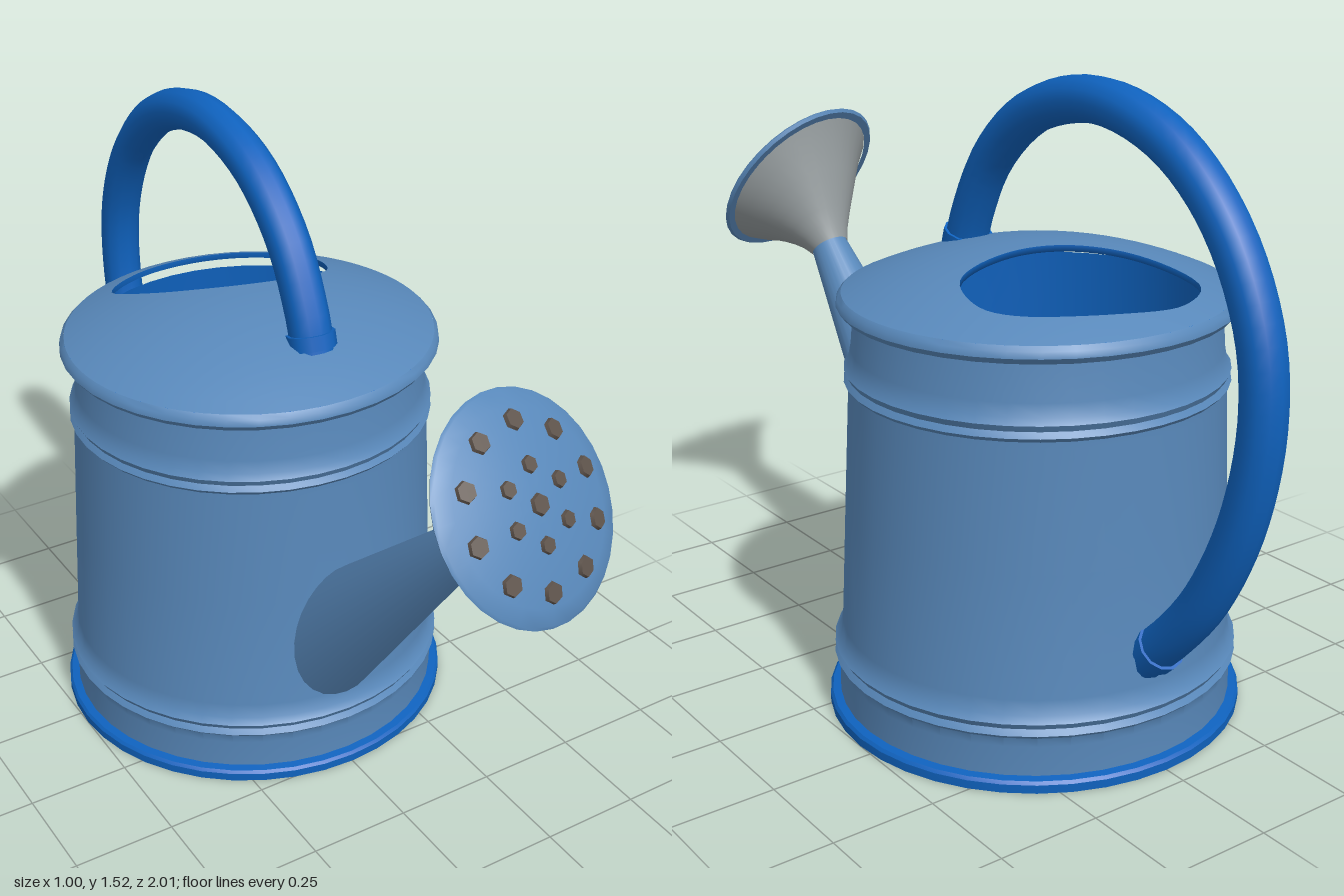
import * as THREE from 'three';
import { toCreasedNormals } from 'three/addons/utils/BufferGeometryUtils.js';

const V = (x, y, z) => new THREE.Vector3(x, y, z);

function material(name, color, side = THREE.FrontSide) {
  const m = new THREE.MeshStandardMaterial({ color, side });
  m.name = name;
  return m;
}

// Skin a list of closed rings that share one point count
function loft(rings) {
  const n = rings[0].length, index = [];
  for (let i = 0; i < rings.length - 1; i++) {
    for (let j = 0; j < n; j++) {
      const k = (j + 1) % n, a = i * n, b = a + n;
      index.push(a + j, a + k, b + j, a + k, b + k, b + j);
    }
  }
  const g = new THREE.BufferGeometry().setFromPoints(rings.flat());
  g.setIndex(index);
  g.computeVertexNormals();
  return g;
}

const lathe = (points, sides = 40) =>
  toCreasedNormals(new THREE.LatheGeometry(points.map(p => new THREE.Vector2(...p)), sides), 0.7);

export function createModel() {
  const model = new THREE.Group();
  model.name = 'wateringCan';
  const paint = material('paleBluePaint', 0x5888ba);
  const deep = material('deepBlue', 0x0f62be, THREE.DoubleSide);
  const metal = material('greyMetal', 0x959c9e, THREE.DoubleSide);
  const dark = material('darkHole', 0x5e534b);

  const add = (parent, name, geometry, mat) => {
    const m = new THREE.Mesh(geometry, mat);
    m.name = name;
    parent.add(m);
    return m;
  };

  // Can: slightly flattened front to back
  const can = new THREE.Group();
  can.name = 'can';
  can.position.z = -0.21;
  can.scale.z = 0.97;
  model.add(can);

  add(can, 'body', lathe([
    [0.475, 0.025], [0.474, 0.1], [0.476, 0.122], [0.486, 0.132], [0.476, 0.145], [0.485, 0.16],
    [0.472, 0.175], [0.466, 0.21], [0.453, 0.5], [0.44, 0.78], [0.44, 0.797], [0.449, 0.807],
    [0.44, 0.82], [0.448, 0.835], [0.438, 0.85], [0.432, 0.88], [0.424, 0.975],
  ]), paint);
  add(can, 'baseFlange', lathe([[0.46, 0], [0.5, 0], [0.5, 0.02], [0.494, 0.027], [0.47, 0.03]]), deep);
  add(can, 'floor', lathe([[0, 0.08], [0.25, 0.065], [0.45, 0.02], [0.47, 0]]), deep);
  add(can, 'innerWall', lathe([[0.46, 0.03], [0.43, 0.78], [0.415, 0.985]]), deep);
  add(can, 'lidLip', lathe([[0.42, 0.97], [0.452, 0.971], [0.463, 0.985], [0.46, 1.0], [0.45, 1.01]]), paint);

  // Domed lid with an egg-shaped filling hole towards the back
  const holeCentre = V(0.02, 0, -0.2);
  const outline = new THREE.CatmullRomCurve3([
    [-0.23, -0.29], [-0.1, -0.38], [0.08, -0.36], [0.24, -0.27], [0.29, -0.18],
    [0.25, -0.05], [0.1, -0.01], [-0.05, -0.045], [-0.18, -0.15],
  ].map(([x, z]) => V(x, 0, z)), true).getSpacedPoints(64).slice(0, 64);
  const lidRing = (t, drop) => outline.map(p => {
    const a = Math.atan2(p.z - holeCentre.z, p.x - holeCentre.x);
    const q = p.clone().lerp(V(0.45 * Math.cos(a), 0, 0.45 * Math.sin(a)), t);
    q.y = 1.01 + 0.1 * (1 - (q.x * q.x + q.z * q.z) / 0.2025) - drop;
    return q;
  });
  const steps = Array.from({ length: 13 }, (_, i) => i / 12);
  add(can, 'lid', loft(steps.map(t => lidRing(t, 0))), paint);
  add(can, 'lidLining', loft([lidRing(0, 0), ...steps.map(t => lidRing(t, 0.015))]), deep);

  // Arched handle from the lid to the lower back
  const path = new THREE.CatmullRomCurve3([
    [1.05, 0.05], [1.14, 0.02], [1.29, -0.065], [1.415, -0.22], [1.465, -0.44], [1.41, -0.66],
    [1.27, -0.83], [1.08, -0.93], [0.9, -0.95], [0.68, -0.91], [0.48, -0.82], [0.36, -0.73], [0.26, -0.63],
  ].map(([y, z]) => V(0.018, y, z)));
  add(model, 'handle', new THREE.TubeGeometry(path, 56, 0.051, 12), deep);
  for (const [name, t] of [['handleFrontCollar', 0.012], ['handleBackCollar', 0.975]]) {
    const collar = add(model, name, new THREE.CylinderGeometry(0.058, 0.058, 0.035, 12), deep);
    collar.position.copy(path.getPointAt(t));
    collar.quaternion.setFromUnitVectors(V(0, 1, 0), path.getTangentAt(t));
  }

  // Tapered spout
  const spoutStart = V(-0.002, 0.3, 0.14), spoutEnd = V(-0.002, 0.925, 0.72);
  const spoutAxis = spoutEnd.clone().sub(spoutStart);
  const spout = add(model, 'spout',
    new THREE.CylinderGeometry(0.046, 0.145, spoutAxis.length(), 28), paint);
  spout.position.copy(spoutStart).add(spoutEnd).multiplyScalar(0.5);
  spoutAxis.normalize();
  spout.quaternion.setFromUnitVectors(V(0, 1, 0), spoutAxis);

  // Sprinkler funnel, bending from the spout axis to the rose axis
  const roseCentre = V(-0.004, 1.075, 0.868), roseAxis = V(0.18, 0.55, 0.81).normalize();
  const funnelRing = t => {
    const w = spoutAxis.clone().lerp(roseAxis, Math.min(1, t * 1.3)).normalize();
    const u = V(1, 0, 0).addScaledVector(w, -w.x).normalize();
    const v = w.clone().cross(u);
    const centre = V(-0.002, 0.91, 0.705).lerp(roseCentre, t);
    const r = 0.05 + 0.178 * Math.pow(t, 1.25);
    return Array.from({ length: 32 }, (_, j) => {
      const a = j / 32 * Math.PI * 2;
      return centre.clone().addScaledVector(u, r * Math.cos(a)).addScaledVector(v, r * Math.sin(a));
    });
  };
  add(model, 'sprinklerFunnel', loft([0, 0.15, 0.3, 0.45, 0.6, 0.8, 0.97].map(funnelRing)), metal);

  // Bulging rose plate with three rings of holes
  const rose = new THREE.Group();
  rose.name = 'rose';
  rose.position.copy(roseCentre);
  rose.quaternion.setFromUnitVectors(V(0, 1, 0), roseAxis);
  model.add(rose);
  const bulge = r => 0.035 * (1 - (r / 0.235) ** 2);
  add(rose, 'rosePlate', lathe([
    [0.215, -0.014], [0.235, -0.014], [0.241, -0.006], [0.235, 0],
    ...[0.2, 0.15, 0.1, 0.05, 0].map(r => [r, bulge(r)]),
  ], 32), paint);
  const holeGeometry = new THREE.CylinderGeometry(0.021, 0.024, 0.009, 6);
  for (const [count, r] of [[1, 0], [6, 0.08], [10, 0.172]]) {
    for (let i = 0; i < count; i++) {
      const a = i / count * Math.PI * 2;
      const hole = add(rose, 'sprinklerHole', holeGeometry, dark);
      hole.position.set(r * Math.sin(a), bulge(r) + 0.003, r * Math.cos(a));
      hole.quaternion.setFromUnitVectors(V(0, 1, 0),
        V(1.27 * hole.position.x, 1, 1.27 * hole.position.z).normalize());
      if (r === 0.08) hole.scale.set(0.8, 1, 0.8);
    }
  }
  return model;
}
